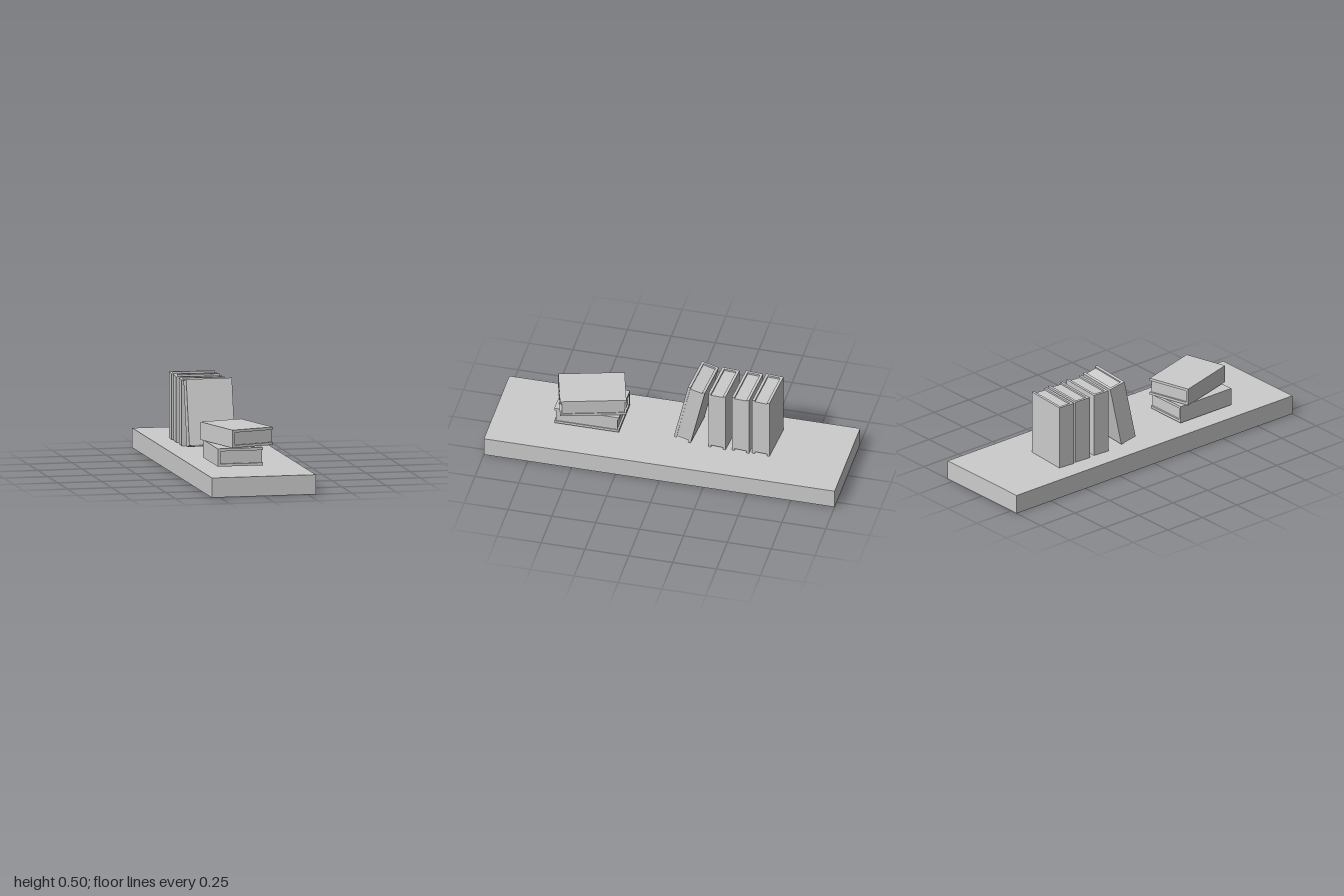
import * as THREE from 'three';

const W = 0.256, H = 0.368, T = 0.1, COVER = 0.015; // book width, height, thickness, board
const grey = new THREE.MeshStandardMaterial({ color: 0xcccccc, flatShading: true });

// Upright book: spine at -x, thickness along z, centred on its own origin
function makeBook(name, position, rotation) {
  const book = new THREE.Group();
  book.name = name;

  // U-shaped cover: two boards joined by the spine
  const w = W / 2, t = T / 2;
  const outline = [
    [-w, -t], [w, -t], [w, -t + COVER], [-w + COVER, -t + COVER],
    [-w + COVER, t - COVER], [w, t - COVER], [w, t], [-w, t],
  ].map(([x, y]) => new THREE.Vector2(x, y));
  const coverGeo = new THREE.ExtrudeGeometry(new THREE.Shape(outline), { depth: H, bevelEnabled: false });
  coverGeo.translate(0, 0, -H / 2).rotateX(-Math.PI / 2);
  const cover = new THREE.Mesh(coverGeo, grey);
  cover.name = 'cover';

  // Page block, set back from the cover edges
  const pageWidth = W - COVER - 0.004;
  const pages = new THREE.Mesh(new THREE.BoxGeometry(pageWidth, H - 0.02, T - 2 * COVER), grey);
  pages.position.x = -w + COVER + pageWidth / 2;
  pages.name = 'pages';

  book.add(cover, pages);
  book.position.set(...position);
  book.rotation.set(...rotation);
  return book;
}

export function createModel() {
  const model = new THREE.Group();
  model.name = 'bookShelf';

  // Shelf board
  const shelf = new THREE.Mesh(new THREE.BoxGeometry(0.59, 0.11, 2), grey);
  shelf.position.y = 0.055;
  shelf.name = 'shelf';
  model.add(shelf);

  const deg = THREE.MathUtils.degToRad;

  // Upright books, slightly turned
  [-0.533, -0.417, -0.283].forEach((z, i) => {
    model.add(makeBook(`standingBook${i + 1}`, [-0.055, 0.112 + H / 2, z], [0, deg(-4), 0]));
  });

  // Book leaning back against the row
  model.add(makeBook('leaningBook', [-0.055, 0.312, -0.125], [deg(-12.7), deg(-4), 0]));

  // Two books lying flat, the upper one turned
  model.add(makeBook('lowerFlatBook', [-0.055, 0.171, 0.469], [Math.PI / 2, 0, 0, 'YXZ']));
  model.add(makeBook('upperFlatBook', [-0.032, 0.276, 0.462], [Math.PI / 2, deg(16), 0, 'YXZ']));

  return model;
}
